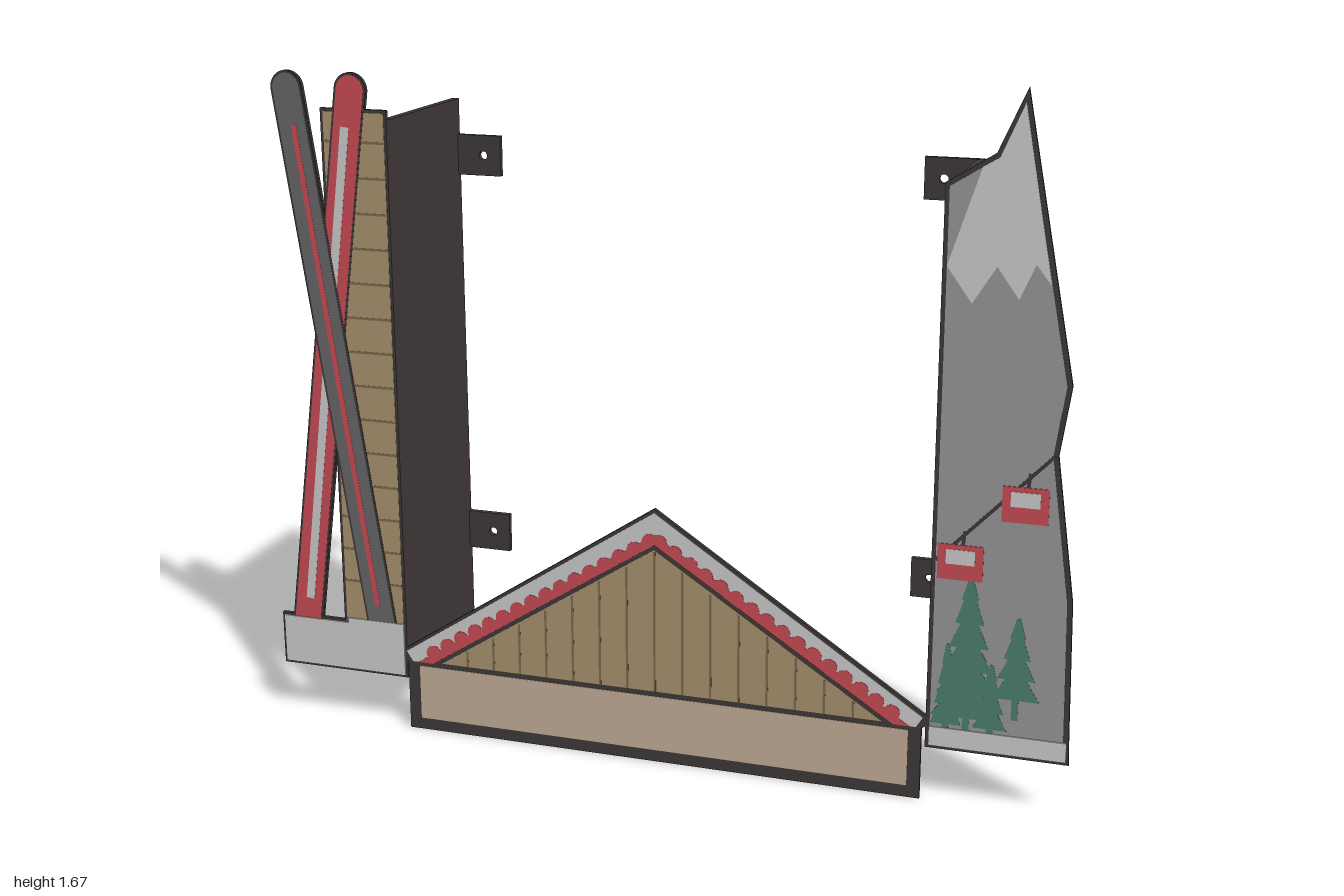
import * as THREE from 'three';

const mat = (color) => new THREE.MeshStandardMaterial({ color, roughness: 0.9, flatShading: true });
const M = {
  dark: mat(0x3f3938), wood: mat(0xa8916f), groove: mat(0x7d6a50), beige: mat(0xc2ab96),
  snow: mat(0xd2d3d2), red: mat(0xc84a54), rock: mat(0x96969b), green: mat(0x4c806c), ski: mat(0x666568),
};
const BACK = 0.199, FACE = 0.2085, LAYER = 0.0009; // plate back, plate face, relief step

export function createModel() {
  const root = new THREE.Group();
  let group = root;

  const section = (name) => {
    group = new THREE.Group();
    group.name = name;
    root.add(group);
  };
  const add = (name, geo, material) => {
    const mesh = new THREE.Mesh(geo, material);
    mesh.name = name;
    group.add(mesh);
    return mesh;
  };
  const box = (name, x0, x1, y0, y1, z0, z1, material = M.dark) => {
    const geo = new THREE.BoxGeometry(x1 - x0, y1 - y0, z1 - z0);
    geo.translate((x0 + x1) / 2, (y0 + y1) / 2, (z0 + z1) / 2);
    return add(name, geo, material);
  };
  const slab = (name, shape, z0, z1, material = M.dark) => {
    const geo = new THREE.ExtrudeGeometry(shape, { depth: z1 - z0, bevelEnabled: false, curveSegments: 10 });
    geo.translate(0, 0, z0);
    return add(name, geo, material);
  };
  const poly = (pts) => new THREE.Shape(pts.map(([x, y]) => new THREE.Vector2(x, y)));
  const rect = (x0, x1, y0, y1) => poly([[x0, y0], [x1, y0], [x1, y1], [x0, y1]]);
  const plate = (name, shape) => slab(name, shape, BACK, FACE);
  // Coloured relief on the face; a higher level lies in front of a lower one
  const relief = (name, shape, level, material) =>
    slab(name, shape, FACE - 0.001, FACE + LAYER * level, material);
  // Straight strip of half width w from a to b, optionally with a round end at b
  const strip = (a, b, w, round = false) => {
    const ang = Math.atan2(b[1] - a[1], b[0] - a[0]);
    const nx = -Math.sin(ang) * w, ny = Math.cos(ang) * w;
    const s = new THREE.Shape();
    s.moveTo(a[0] + nx, a[1] + ny);
    s.lineTo(a[0] - nx, a[1] - ny);
    s.lineTo(b[0] - nx, b[1] - ny);
    if (round) s.absarc(b[0], b[1], w, ang - Math.PI / 2, ang + Math.PI / 2, false);
    else s.lineTo(b[0] + nx, b[1] + ny);
    return s;
  };

  // Plank wall and snow block behind the crossed skis
  section('skiPanel');
  plate('plankBacking', rect(-0.825, -0.655, 0.14, 1.563));
  relief('plankFace', rect(-0.818, -0.662, 0.27, 1.555), 1, M.wood);
  for (let y = 0.38; y < 1.53; y += 0.085)
    relief('plankGroove', rect(-0.818, -0.662, y - 0.003, y + 0.003), 1.4, M.groove);
  const block = (d) => poly([[-1 + d, 0.135 + d], [-0.655 - d, 0.135 + d], [-0.655 - d, 0.285 - d],
    [-0.82 + d, 0.285 - d], [-0.82 + d, 0.272 - d], [-1 + d, 0.272 - d]]);
  plate('snowBlockBacking', block(0));
  relief('snowBlock', block(0.006), 5, M.snow);

  const skis = [
    { name: 'redSki', a: [-0.93, 0.25], b: [-0.745, 1.607], s: [[-0.918, 0.32], [-0.762, 1.52]], w: 0.011, m: M.red, t: M.snow, l: 2 },
    { name: 'darkSki', a: [-0.717, 0.25], b: [-0.91, 1.607], s: [[-0.73, 0.32], [-0.895, 1.52]], w: 0.007, m: M.ski, t: M.red, l: 3.6 },
  ];
  for (const k of skis) {
    plate(k.name + 'Backing', strip(k.a, k.b, 0.041, true));
    relief(k.name + 'Edge', strip(k.a, k.b, 0.04, true), k.l - 0.5, M.dark);
    relief(k.name, strip(k.a, k.b, 0.035, true), k.l, k.m);
    relief(k.name + 'Stripe', strip(k.s[0], k.s[1], k.w), k.l + 0.5, k.t);
  }

  // Mountain with snow cap, trees and cable cars
  section('mountainPanel');
  plate('mountainBacking', poly([[0.662, 0.135], [0.995, 0.135], [0.992, 0.2], [0.983, 0.53], [0.935, 0.87],
    [0.957, 1.03], [0.885, 1.4], [0.832, 1.672], [0.77, 1.53], [0.662, 1.462]]));
  relief('rock', poly([[0.672, 0.18], [0.98, 0.18], [0.971, 0.53], [0.923, 0.87],
    [0.945, 1.03], [0.873, 1.4], [0.828, 1.64], [0.778, 1.522], [0.672, 1.455]]), 1, M.rock);
  relief('snowCap', poly([[0.672, 1.28], [0.73, 1.2], [0.782, 1.285], [0.832, 1.215], [0.866, 1.295], [0.901, 1.25],
    [0.873, 1.4], [0.828, 1.64], [0.778, 1.522], [0.742, 1.5]]), 2, M.snow);
  relief('snowGround', rect(0.67, 0.988, 0.142, 0.19), 4, M.snow);

  // Fir tree outline from stacked tiers
  const tree = (cx, y0, y1, w, tiers = 5) => {
    const right = [], h = (y1 - y0) / tiers;
    for (let i = 0; i < tiers; i++) {
      const r = w * (1 - i / (tiers + 0.5));
      right.push([r, y0 + i * h], [r * 0.45, y0 + (i + 1) * h]);
    }
    right[right.length - 1][0] = 0.004;
    const left = right.map(([x, y]) => [cx - x, y]).reverse();
    relief('tree', poly([...right.map(([x, y]) => [cx + x, y]), ...left]), 2, M.green);
    relief('treeTrunk', rect(cx - 0.008, cx + 0.008, y0 - 0.05, y0 + 0.01), 1.8, M.green);
  };
  tree(0.755, 0.22, 0.57, 0.085, 6);
  tree(0.866, 0.28, 0.48, 0.055, 4);
  tree(0.708, 0.2, 0.4, 0.036, 4);
  tree(0.81, 0.2, 0.36, 0.04, 4);

  relief('cable', strip([0.672, 0.6], [0.928, 0.87], 0.004), 2, M.dark);
  for (const [x, y] of [[0.728, 0.6], [0.868, 0.75]]) {
    relief('cabinHanger', strip([x, y], [x + 0.008, y + 0.075], 0.004), 2, M.dark);
    relief('cabin', rect(x - 0.052, x + 0.052, y - 0.042, y + 0.042), 3, M.red);
    relief('cabinWindow', rect(x - 0.033, x + 0.033, y - 0.005, y + 0.03), 4, M.snow);
  }

  // Gable front with sign board
  section('gablePanel');
  plate('gableBacking', poly([[-0.653, 0], [0.653, 0], [0.653, 0.18], [0.664, 0.188], [0.664, 0.212], [0, 0.652],
    [-0.664, 0.212], [-0.664, 0.188], [-0.653, 0.18]]));
  relief('signBoard', rect(-0.622, 0.622, 0.03, 0.172), 1, M.beige);
  relief('roofSnow', poly([[-0.64, 0.182], [0.64, 0.182], [0.656, 0.208], [0, 0.642], [-0.656, 0.208]]), 1, M.snow);
  relief('trim', poly([[-0.625, 0.182], [0.625, 0.182], [0, 0.588], [-0.625, 0.182]]), 2, M.red);
  for (const s of [-1, 1]) {
    for (let i = 0; i < 16; i++) {
      const t = (i + 0.3) / 16, bump = new THREE.Shape();
      bump.absarc(s * 0.608 * t, 0.576 - 0.382 * t, 0.02, 0, Math.PI * 2, false);
      relief('trimScallop', bump, 2, M.red);
    }
  }
  relief('gableEdge', poly([[-0.585, 0.182], [0.585, 0.182], [0, 0.562]]), 2.5, M.dark);
  relief('gableWood', poly([[-0.56, 0.186], [0.56, 0.186], [0, 0.55]]), 3, M.wood);
  for (let i = -7; i <= 7; i++) {
    const x = i * 0.07;
    relief('boardGroove', rect(x - 0.003, x + 0.003, 0.186, 0.545 - Math.abs(x) * 0.65), 3.4, M.groove);
  }

  // Shelf and stiffeners behind the gable
  section('shelf');
  box('shelfBox', -0.39, 0.39, 0, 0.07, -0.15, BACK + 0.001);
  for (const x of [-0.35, 0, 0.35]) box('gableRib', x - 0.008, x + 0.008, 0.06, 0.38, 0.16, BACK + 0.001);
  for (const s of [-1, 1]) {
    for (const [x, z] of [[0.33, -0.06], [0.2, -0.09]]) {
      const dot = add('screwRecess', new THREE.CircleGeometry(0.007, 12), mat(0x111111));
      dot.rotation.x = Math.PI / 2;
      dot.position.set(s * x, -0.0005, z);
    }
  }

  // Side walls with rear mounting tabs and stiffening pegs
  for (const s of [-1, 1]) {
    section(s < 0 ? 'rightBracket' : 'leftBracket');
    const span = (name, a, b, ...rest) => box(name, Math.min(s * a, s * b), Math.max(s * a, s * b), ...rest);
    const inner = s < 0 ? 0.655 : 0.663, outer = inner + 0.018;
    span('sideWall', inner, outer, 0.152, s < 0 ? 1.54 : 1.45, -0.213, BACK + 0.001);
    for (const y of [1.4, 0.395]) {
      const shape = rect(Math.min(s * 0.54, s * outer), Math.max(s * 0.54, s * outer), y - 0.051, y + 0.051);
      const hole = new THREE.Path();
      hole.absarc(s * 0.587, y, 0.011, 0, Math.PI * 2, true);
      shape.holes.push(hole);
      slab('mountingTab', shape, -0.213, -0.199);
    }
    for (let i = 0; i < 5; i++) {
      const y = 0.28 + i * 0.2625;
      span('peg', inner + 0.01, outer + 0.08, y - 0.007, y + 0.007, 0.166, BACK + 0.001);
    }
  }
  return root;
}
